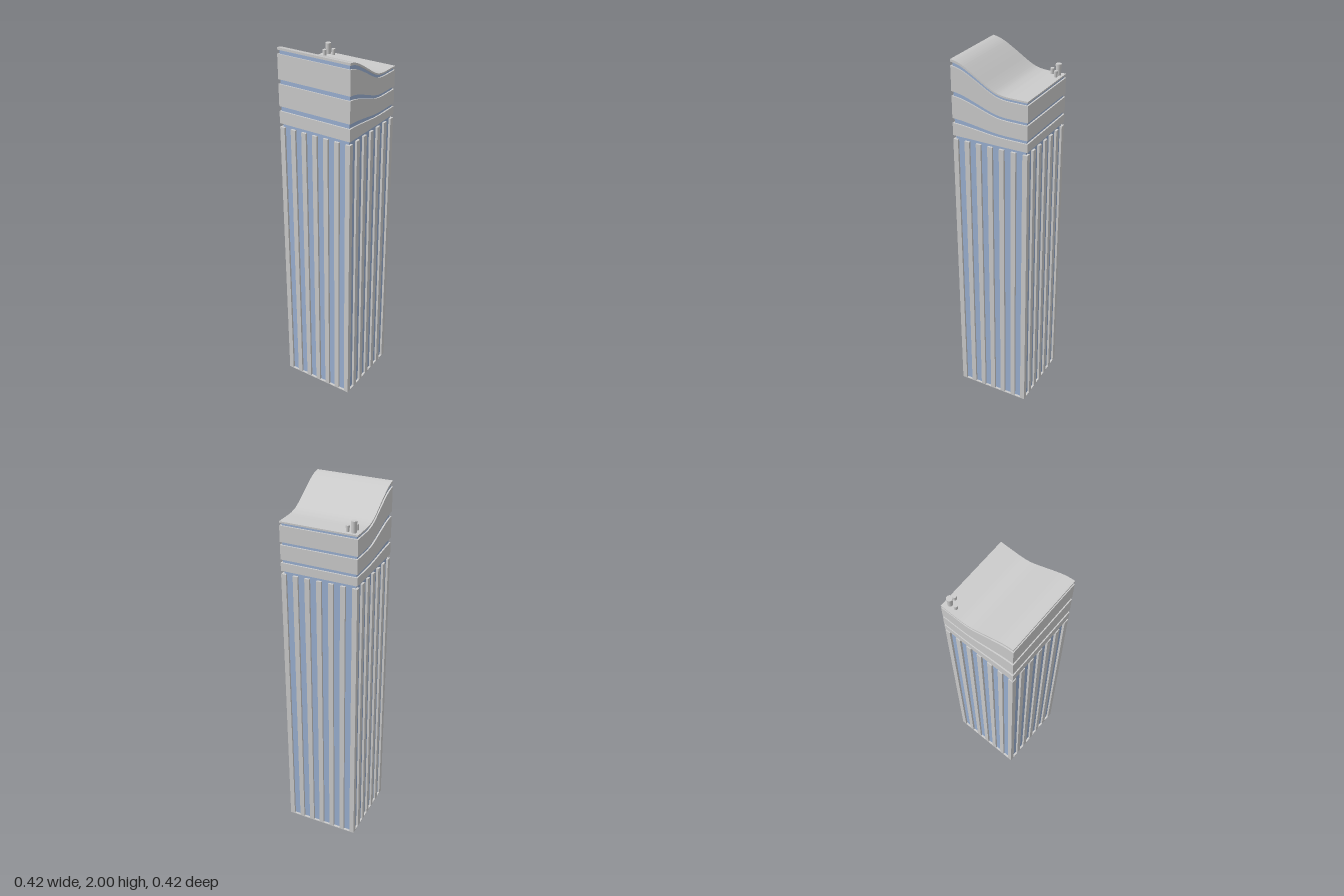
import * as THREE from 'three';

const HALF = 0.208;        // outer half width
const CORE = 0.196;        // recessed glass half width
const SHAFT_TOP = 1.588;
const CROWN_BASE = 1.6;

const wall = new THREE.MeshStandardMaterial({ color: 0xcccccc });
const glass = new THREE.MeshStandardMaterial({ color: 0x9ab0d2 });

// Roof line as (z, y), high at the front and flat at the back
const roof = new THREE.SplineCurve([
  [0.208, 2.0], [0.18, 1.995], [0.138, 1.979], [0.074, 1.942], [0.01, 1.902],
  [-0.037, 1.878], [-0.074, 1.869], [-0.11, 1.866], [-0.208, 1.865],
].map(([z, y]) => new THREE.Vector2(z, y))).getPoints(40);

function add(group, name, geometry, material, x = 0, y = 0, z = 0) {
  const mesh = new THREE.Mesh(geometry, material);
  mesh.name = name;
  mesh.position.set(x, y, z);
  group.add(mesh);
  return mesh;
}

// Slab whose lower and upper faces follow the roof line, flattening towards the crown base
function wavySlab(t0, t1, half) {
  const s = half / HALF;
  const line = (t) => roof.map((p) =>
    new THREE.Vector2(p.x * s, CROWN_BASE + t * (p.y - CROWN_BASE)));
  const shape = new THREE.Shape([...line(t0), ...line(t1).reverse()]);
  return new THREE.ExtrudeGeometry(shape, { depth: 2 * half, bevelEnabled: false })
    .translate(0, 0, -half)
    .rotateY(-Math.PI / 2);
}

export function createModel() {
  const model = new THREE.Group();
  model.name = 'tower';

  // Shaft: glass core with a thin base plate
  const coreTop = 1.63;
  add(model, 'shaftGlass', new THREE.BoxGeometry(2 * CORE, coreTop, 2 * CORE), glass, 0, coreTop / 2, 0);
  add(model, 'basePlate', new THREE.BoxGeometry(2 * HALF, 0.004, 2 * HALF), wall, 0, 0.002, 0);

  // Vertical fins, five per side, and four corner posts
  const finWidth = 0.027;
  const pitch = (2 * HALF - finWidth) / 6;
  const depth = HALF - CORE + 0.004;
  const finGeo = new THREE.BoxGeometry(finWidth, SHAFT_TOP, depth);
  const postGeo = new THREE.BoxGeometry(finWidth, SHAFT_TOP, finWidth);
  for (let side = 0; side < 4; side++) {
    const face = new THREE.Group();
    face.name = 'facade';
    face.rotation.y = side * Math.PI / 2;
    for (let i = -2; i <= 2; i++) {
      add(face, 'fin', finGeo, wall, i * pitch, SHAFT_TOP / 2, HALF - depth / 2);
    }
    const c = HALF - finWidth / 2;
    add(face, 'cornerPost', postGeo, wall, c, SHAFT_TOP / 2, c);
    model.add(face);
  }

  // Crown: glass core showing between wavy wall bands
  const crown = new THREE.Group();
  crown.name = 'crown';
  add(crown, 'crownGlass', wavySlab(0.03, 0.985, 0.2), glass);
  for (const [t0, t1] of [[0.02, 0.185], [0.25, 0.54], [0.6, 0.92], [0.97, 1]]) {
    add(crown, t1 === 1 ? 'roofSlab' : 'crownBand', wavySlab(t0, t1, HALF), wall);
  }
  model.add(crown);

  // Roof pipes at the back right corner
  const pipe = (r, top, x, z) => {
    const h = top - 1.855;
    add(model, 'roofPipe', new THREE.CylinderGeometry(r * 0.88, r * 0.88, h, 24), wall, x, top - h / 2, z);
    add(model, 'pipeCap', new THREE.CylinderGeometry(r, r, 0.012, 24), wall, x, top - 0.005, z);
  };
  pipe(0.015, 1.922, -0.175, -0.181);
  pipe(0.01, 1.895, -0.143, -0.181);
  pipe(0.01, 1.895, -0.175, -0.147);

  return model;
}
